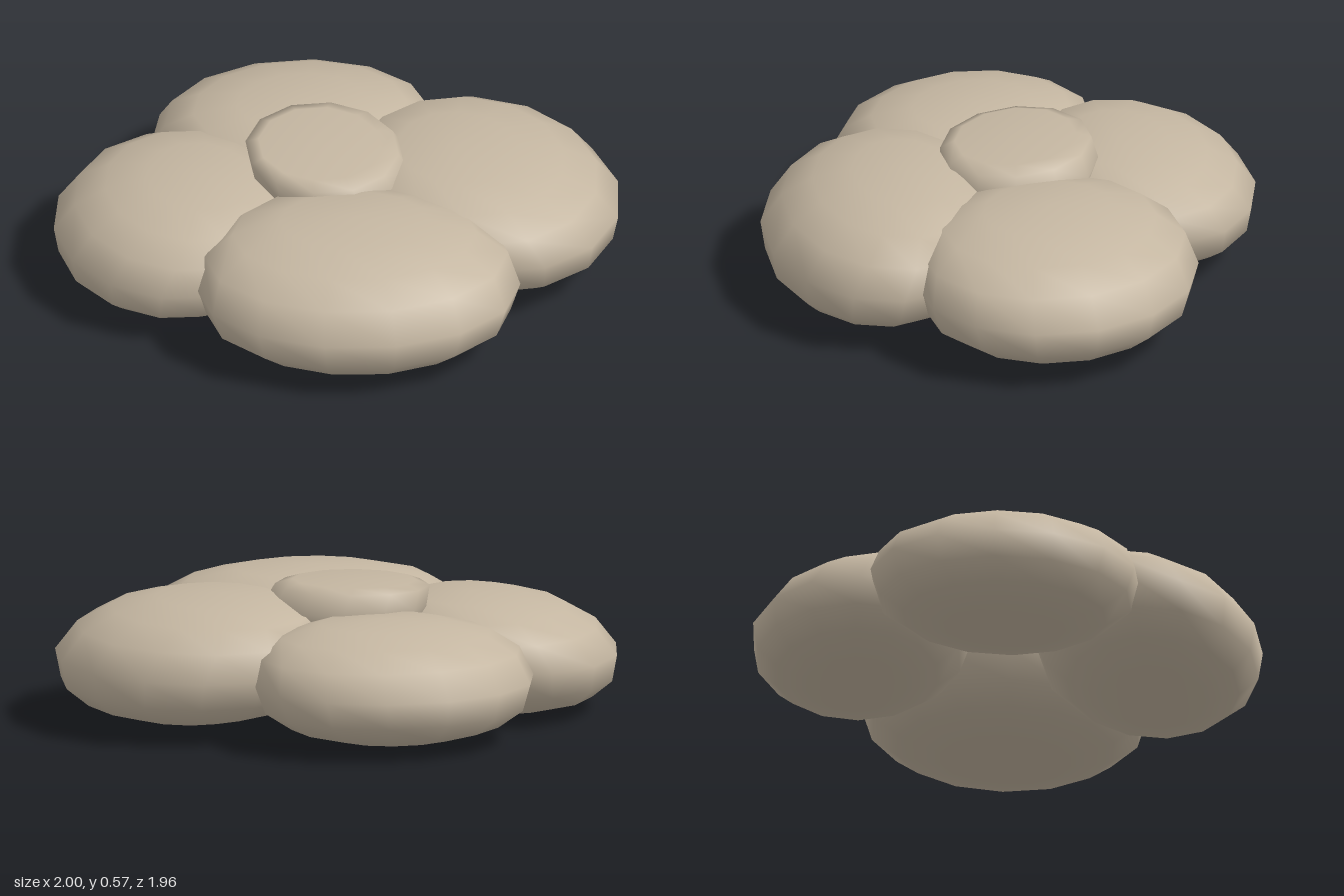
import * as THREE from 'three';
import { mergeVertices } from 'three/addons/utils/BufferGeometryUtils.js';

// Flattened pebble: a coarse sphere with a boxier side profile (smaller power = boxier)
function pebble(a, h, b, power, segments, rings) {
  let g = new THREE.SphereGeometry(1, segments, rings);
  g.deleteAttribute('uv');
  g.deleteAttribute('normal');
  g = mergeVertices(g, 1e-4);
  const p = g.attributes.position;
  for (let i = 0; i < p.count; i++) {
    const x = p.getX(i), y = p.getY(i), z = p.getZ(i);
    const r = Math.hypot(x, z);
    const k = r > 1e-4 ? Math.pow(r, power) / r : 0;
    p.setXYZ(i, x * k * a, Math.sign(y) * Math.pow(Math.abs(y), power) * h, z * k * b);
  }
  return g;
}

// Shift the upper and lower halves sideways along (dx, dz) in proportion to height
function lean(g, dx, dz, upper, lower) {
  const p = g.attributes.position;
  for (let i = 0; i < p.count; i++) {
    const y = p.getY(i), s = y * (y > 0 ? upper : lower);
    p.setX(i, p.getX(i) + s * dx);
    p.setZ(i, p.getZ(i) + s * dz);
  }
  g.computeVertexNormals();
}

export function createModel() {
  const group = new THREE.Group();
  const stone = new THREE.MeshStandardMaterial({ color: 0xc4b6a1 });
  stone.name = 'warm stone';

  // Four outer lobes: centre, half sizes and turn in plan
  const lobes = [
    { name: 'backLeftLobe', x: 0.42, z: -0.44, y: 0.275, a: 0.59, b: 0.535, h: 0.25, turn: -0.5 },
    { name: 'backRightLobe', x: -0.49, z: -0.34, y: 0.255, a: 0.575, b: 0.445, h: 0.235, turn: 0.785 },
    { name: 'frontRightLobe', x: -0.475, z: 0.475, y: 0.24, a: 0.55, b: 0.475, h: 0.24, turn: -0.6 },
    { name: 'frontLeftLobe', x: 0.41, z: 0.395, y: 0.265, a: 0.655, b: 0.46, h: 0.255, turn: 0.68 },
  ];
  for (const l of lobes) {
    const g = pebble(l.a, l.h, l.b, 0.82, 14, 8);
    g.rotateY(l.turn);
    // Crown leans towards the middle of the cluster, the underside slightly outwards
    const d = Math.hypot(l.x, l.z);
    lean(g, -l.x / d, -l.z / d, 0.5, 0.1);
    const m = new THREE.Mesh(g, stone);
    m.name = l.name;
    m.position.set(l.x, l.y, l.z);
    group.add(m);
  }

  // Flat-topped centre stone resting on the lobes
  const g = pebble(0.335, 0.11, 0.32, 0.4, 12, 6);
  lean(g, -0.3, 0.25, 1, 0);
  const centre = new THREE.Mesh(g, stone);
  centre.name = 'centreStone';
  centre.position.set(-0.045, 0.455, -0.01);
  centre.rotation.set(0.05, 0, -0.03);
  group.add(centre);
  return group;
}
